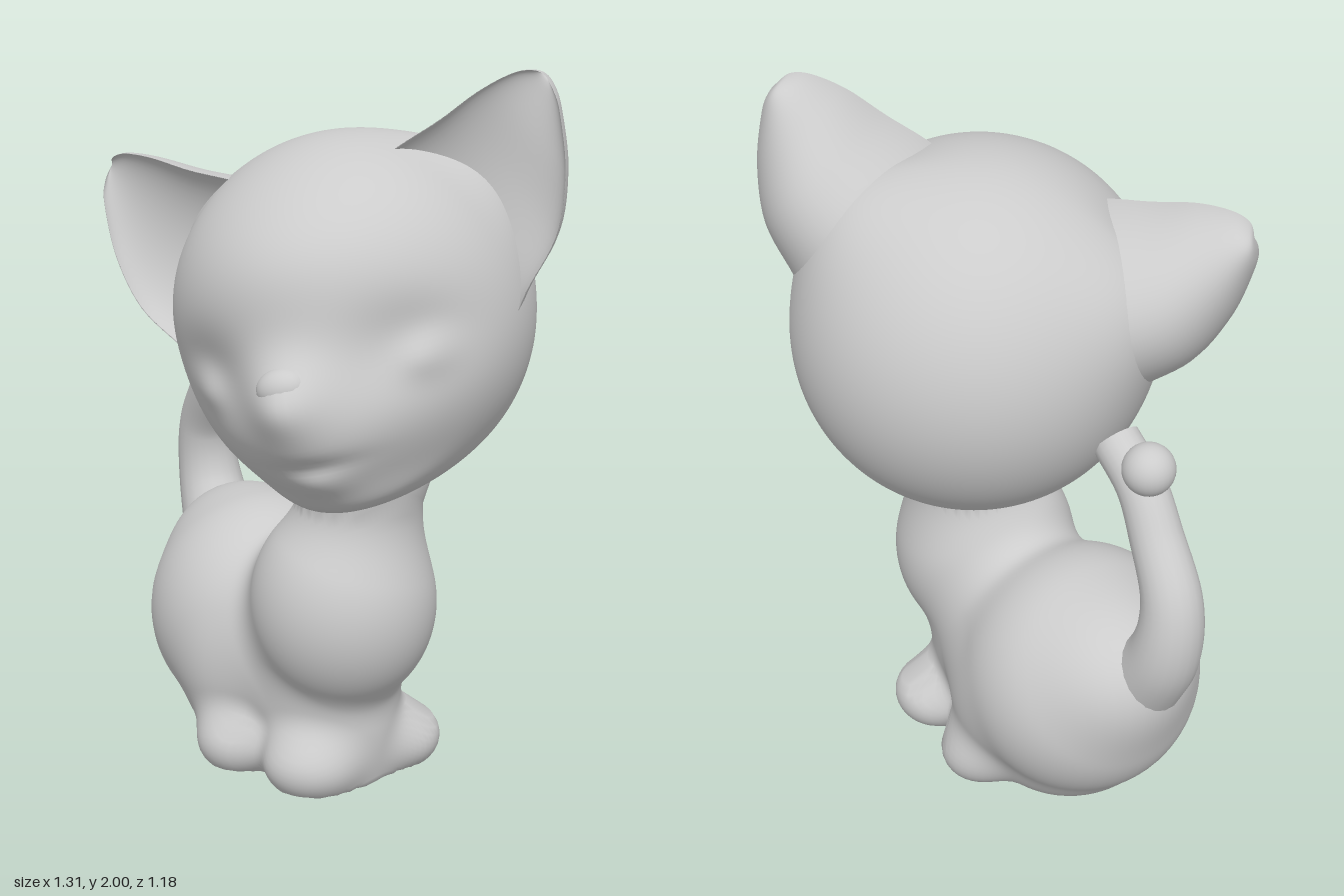
import * as THREE from 'three';
import { mergeVertices } from 'three/addons/utils/BufferGeometryUtils.js';

const material = new THREE.MeshStandardMaterial({ color: 0xcccccc });

function addMesh(parent, name, geometry) {
  const mesh = new THREE.Mesh(geometry, material);
  mesh.name = name;
  parent.add(mesh);
  return mesh;
}

// Move every vertex by a rule, then weld and smooth
function sculpt(geometry, rule) {
  geometry.deleteAttribute('uv');
  geometry.deleteAttribute('normal');
  const pos = geometry.attributes.position;
  const v = new THREE.Vector3();
  for (let i = 0; i < pos.count; i++) {
    rule(v.fromBufferAttribute(pos, i), i);
    pos.setXYZ(i, v.x, v.y, v.z);
  }
  const welded = mergeVertices(geometry, 1e-5);
  welded.computeVertexNormals();
  return welded;
}

// Insert spline steps between the rows of a profile table
function smoothRows(rows, steps) {
  const out = [];
  const at = (i) => rows[Math.min(rows.length - 1, Math.max(0, i))];
  for (let i = 0; i < rows.length - 1; i++) {
    for (let k = 0; k < steps; k++) {
      const t = k / steps;
      out.push(rows[i].map((_, c) => {
        const [a, b, d, e] = [at(i - 1)[c], at(i)[c], at(i + 1)[c], at(i + 2)[c]];
        return b + 0.5 * t * (d - a + t * (2 * a - 5 * b + 4 * d - e + t * (3 * (b - d) + e - a)));
      }));
    }
  }
  out.push(rows[rows.length - 1]);
  return out;
}

// Skin of closed rings; ringPoint(row, angle) gives [x, y, z]
function loft(rows, sides, ringPoint) {
  const points = [], index = [];
  rows.forEach((row, i) => {
    for (let j = 0; j < sides; j++) {
      points.push(...ringPoint(row, (j / sides) * Math.PI * 2));
      if (i === rows.length - 1) continue;
      const a = i * sides + j, b = i * sides + ((j + 1) % sides);
      index.push(a, a + sides, b, b, a + sides, b + sides);
    }
  });
  const geometry = new THREE.BufferGeometry();
  geometry.setAttribute('position', new THREE.Float32BufferAttribute(points, 3));
  geometry.setIndex(index);
  geometry.computeVertexNormals();
  return geometry;
}

// Body masses as ellipsoids: centre x y z, radii x y z
const masses = [
  [-0.25, 0.36, -0.225, 0.335, 0.35, 0.35],   // haunches
  [-0.36, 0.48, -0.35, 0.205, 0.2, 0.215],    // rump
  [-0.2, 0.1, -0.18, 0.25, 0.16, 0.25],       // seat
  [-0.04, 0.24, -0.25, 0.15, 0.21, 0.16],     // left thigh
  [-0.25, 0.24, -0.02, 0.16, 0.21, 0.15],     // right thigh
  [-0.06, 0.33, -0.06, 0.25, 0.31, 0.25],     // belly
  [0.08, 0.53, 0.08, 0.26, 0.3, 0.26],        // chest
  [0.125, 0.83, 0.065, 0.17, 0.35, 0.18],     // neck
  [0.13, 0.95, 0.06, 0.2, 0.08, 0.2],         // top of the neck
  [0.035, 0.15, 0.03, 0.195, 0.35, 0.195],    // front legs
  [0.2, 0.07, -0.07, 0.125, 0.1, 0.125],      // left front paw
  [0.01, 0.07, 0.185, 0.13, 0.1, 0.115],      // right front paw
  [0.03, 0.07, -0.29, 0.11, 0.1, 0.11],       // left hind paw
  [-0.23, 0.07, 0.09, 0.12, 0.1, 0.11],       // right hind paw
];

// Signed distance to the softly merged masses, cut at the floor and inside the head
function bodyField(x, y, z) {
  const blend = 0.07;
  let d = 1e3;
  for (const [cx, cy, cz, rx, ry, rz] of masses) {
    const px = (x - cx) / rx, py = (y - cy) / ry, pz = (z - cz) / rz;
    const k = Math.hypot(px, py, pz);
    const e = k * (k - 1) / (Math.hypot(px / rx, py / ry, pz / rz) + 1e-6);
    const h = Math.max(blend - Math.abs(d - e), 0) / blend;
    d = Math.min(d, e) - h * h * blend / 4;
  }
  return Math.max(d, -y, y - 0.96);
}

// Sphere whose vertices travel outward until they leave the merged masses
function buildBody() {
  const [cx, cy, cz] = [0.02, 0.31, 0];
  return sculpt(new THREE.SphereGeometry(1, 120, 90), (v) => {
    const f = (t) => bodyField(cx + v.x * t, cy + v.y * t, cz + v.z * t);
    let hi = 0.02;
    while (f(hi) < 0) hi += 0.02;
    let lo = hi - 0.02;
    for (let i = 0; i < 10; i++) {
      const mid = (lo + hi) / 2;
      if (f(mid) < 0) lo = mid; else hi = mid;
    }
    v.set(cx + v.x * lo, cy + v.y * lo, cz + v.z * lo);
  });
}

function buildHead() {
  const head = new THREE.Group();
  head.name = 'head';
  const bump = (dx, dy, sx, sy) => Math.exp(-0.5 * ((dx / sx) ** 2 + (dy / sy) ** 2));

  // Skull with forehead, muzzle, nose, chin, mouth and eye sockets
  addMesh(head, 'skull', sculpt(new THREE.SphereGeometry(1, 128, 96), (v) => {
    v.set(v.x * 0.49, v.y * 0.495, v.z * 0.5);
    const front = THREE.MathUtils.smoothstep(v.z, -0.05, 0.25);
    let push = 0.05 * bump(v.x, v.y - 0.26, 0.28, 0.13);
    push += 0.14 * bump(v.x + 0.02, v.y + 0.26, 0.18, 0.15);
    push += 0.07 * bump(v.x + 0.03, v.y + 0.09, 0.075, 0.065);
    push += 0.12 * bump(v.x, v.y + 0.46, 0.25, 0.06);
    push += 0.02 * bump(v.x + 0.01, v.y + 0.34, 0.06, 0.03);
    push -= 0.015 * bump(v.x + 0.01, v.y + 0.28, 0.08, 0.018);
    // Swelling around the ear roots, behind the ear openings
    let swell = 0;
    for (const s of [-1, 1]) {
      push -= 0.05 * bump(v.x - s * 0.28, v.y + 0.03, 0.1, 0.08);
      push += 0.035 * bump(v.x - s * 0.3, v.y + 0.07, 0.045, 0.04);
      const d = Math.hypot(v.x - s * 0.38, v.y - 0.27, v.z + 0.12);
      swell += 0.11 * Math.exp(-0.5 * (d / 0.13) ** 2) * (1 - THREE.MathUtils.smoothstep(v.z, -0.08, 0.12));
    }
    v.multiplyScalar(1 + swell);
    v.z += push * front;
  }));
  const nose = addMesh(head, 'nose', new THREE.SphereGeometry(0.06, 28, 20));
  nose.position.set(-0.025, -0.06, 0.56);
  nose.scale.set(1.15, 0.9, 0.9);

  // Ears: inner edge x y, outer edge x y, front z, back depth
  const earRows = smoothRows([
    [0.16, 0.38, 0.43, -0.13, 0.10, 0.35],
    [0.25, 0.425, 0.505, -0.01, 0.095, 0.345],
    [0.37, 0.47, 0.61, 0.12, 0.075, 0.29],
    [0.48, 0.52, 0.66, 0.27, 0.05, 0.2],
    [0.57, 0.545, 0.67, 0.42, 0.02, 0.12],
    [0.62, 0.54, 0.66, 0.48, 0.0, 0.07],
    [0.64, 0.52, 0.64, 0.52, -0.03, 0],
  ], 6);
  for (const side of [1, -1]) {
    const ear = addMesh(head, side > 0 ? 'leftEar' : 'rightEar', loft(earRows, 48, ([ix, iy, ox, oy, z, depth], angle) => {
      const a = angle * side;
      const w = 0.5 + 0.5 * Math.cos(a), s = Math.sin(a);
      const dz = s > 0 ? depth * (0.14 * Math.sqrt(s) - 0.45 * s) : depth * s;
      return [side * (ix + (ox - ix) * w), iy + (oy - iy) * w, z + dz];
    }));
    if (side < 0) ear.position.x = 0.025;
  }

  head.position.set(0.08, 1.33, -0.03);
  head.rotation.set(0, -0.04, 0.24);
  return head;
}

// Tapered tube rising from the rump to the back of the head
function buildTail() {
  const curve = new THREE.CatmullRomCurve3([
    [-0.42, 0.45, -0.38], [-0.505, 0.66, -0.48], [-0.515, 0.82, -0.475],
    [-0.46, 0.97, -0.4], [-0.41, 1.08, -0.34], [-0.33, 1.16, -0.26],
  ].map((p) => new THREE.Vector3(...p)));
  const segments = 40, sides = 20;
  return sculpt(new THREE.TubeGeometry(curve, segments, 1, sides), (v, i) => {
    const t = Math.floor(i / (sides + 1)) / segments;
    const c = curve.getPointAt(t);
    v.sub(c).multiplyScalar(0.065 + 0.06 * (1 - t) ** 2).add(c);
  });
}

export function createModel() {
  const model = new THREE.Group();
  model.name = 'sittingKitten';
  model.add(buildHead());
  addMesh(model, 'body', buildBody());

  // Tail and its knobbed tip
  addMesh(model, 'tail', buildTail());
  addMesh(model, 'tailTip', new THREE.SphereGeometry(0.07, 28, 20)).position.set(-0.43, 1.155, -0.37);
  return model;
}
